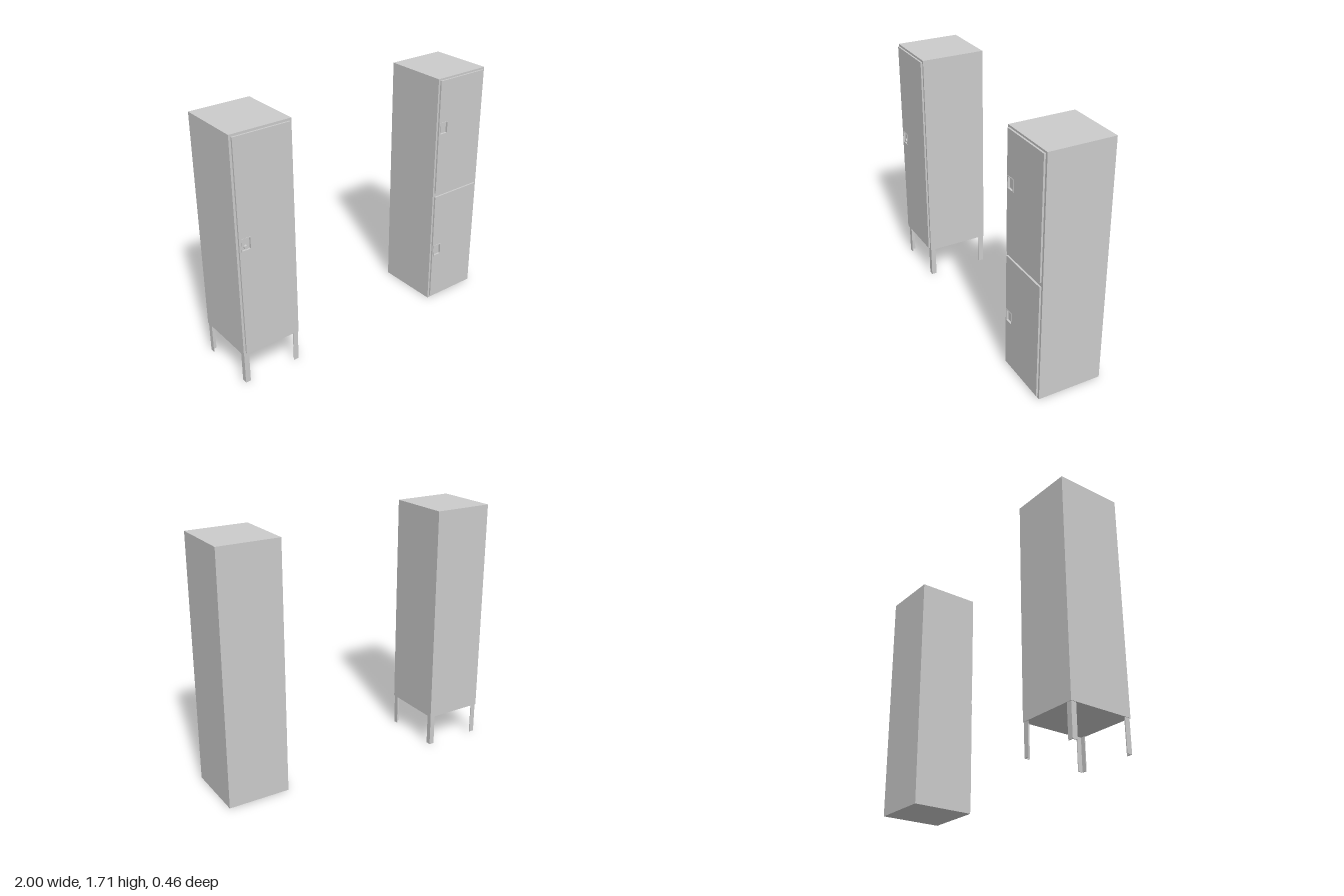
import * as THREE from 'three';

const steel = new THREE.MeshStandardMaterial({ color: 0xcccccc, flatShading: true });
const smooth = new THREE.MeshStandardMaterial({ color: 0xcccccc });

const BACK = -0.232, FRONT = 0.217, DOOR_FRONT = 0.229;

function add(parent, name, geometry, material = steel) {
  const mesh = new THREE.Mesh(geometry, material);
  mesh.name = name;
  parent.add(mesh);
  return mesh;
}

// Box given by its limits on each axis
function box(parent, name, x0, x1, y0, y1, z0, z1) {
  const mesh = add(parent, name, new THREE.BoxGeometry(x1 - x0, y1 - y0, z1 - z0));
  mesh.position.set((x0 + x1) / 2, (y0 + y1) / 2, (z0 + z1) / 2);
  return mesh;
}

function rect(path, x0, x1, y0, y1) {
  path.moveTo(x0, y0);
  path.lineTo(x1, y0);
  path.lineTo(x1, y1);
  path.lineTo(x0, y1);
  path.closePath();
  return path;
}

// Flat plate with a rectangular opening
function plate(parent, name, outer, hole, z0, z1) {
  const shape = rect(new THREE.Shape(), ...outer);
  shape.holes.push(rect(new THREE.Path(), ...hole));
  const geometry = new THREE.ExtrudeGeometry(shape, { depth: z1 - z0, bevelEnabled: false });
  add(parent, name, geometry).position.z = z0;
}

// Door with a framed, recessed finger pull, and a lock if wanted
function door(parent, name, x0, x1, y0, y1, pullX, pullY, lock) {
  const group = new THREE.Group();
  group.name = name;
  const w = 0.034, h = 0.043, rim = 0.005;
  const outer = [pullX - w, pullX + w, pullY - h, pullY + h];
  const inner = [pullX - w + rim, pullX + w - rim, pullY - h + rim, pullY + h - rim];
  plate(group, 'doorPanel', [x0, x1, y0, y1], inner, FRONT, DOOR_FRONT);
  plate(group, 'pullFrame', outer, inner, DOOR_FRONT, DOOR_FRONT + 0.003);
  box(group, 'pullRecess', ...inner, FRONT, FRONT + 0.001);
  if (lock) {
    const knob = add(group, 'lockCylinder', new THREE.CylinderGeometry(0.012, 0.013, 0.015, 24), smooth);
    knob.rotation.x = Math.PI / 2;
    knob.position.set(pullX, pullY - 0.02, FRONT + 0.0075);
    box(group, 'lockSlot', pullX - 0.002, pullX + 0.002, pullY - 0.027, pullY - 0.013, FRONT + 0.014, FRONT + 0.016);
  }
  parent.add(group);
}

// Angle-section leg with its outer corner at the origin, arms towards (dx, dz)
function leg(parent, name, x, z, dx, dz, height) {
  const a = 0.036, t = 0.005;
  const points = [[0, 0], [a, 0], [a, t], [t, t], [t, a], [0, a]];
  // Shape y becomes -z once the extrusion is stood upright
  const shape = new THREE.Shape(points.map(([u, v]) => new THREE.Vector2(u * dx, -v * dz)));
  const geometry = new THREE.ExtrudeGeometry(shape, { depth: height, bevelEnabled: false });
  geometry.rotateX(-Math.PI / 2);
  add(parent, name, geometry).position.set(x, 0, z);
}

export function createModel() {
  const model = new THREE.Group();
  model.name = 'lockers';

  // Tall single-door locker on legs
  const single = new THREE.Group();
  single.name = 'singleLocker';
  box(single, 'cabinet', -1, -0.582, 0.218, 1.71, BACK, FRONT);
  door(single, 'tallDoor', -0.985, -0.597, 0.233, 1.695, -0.938, 1.008, true);
  for (const [side, x, dx] of [['Right', -0.996, 1], ['Left', -0.586, -1]]) {
    leg(single, 'front' + side + 'Leg', x, FRONT - 0.004, dx, -1, 0.218);
    leg(single, 'back' + side + 'Leg', x, BACK + 0.004, dx, 1, 0.218);
  }
  model.add(single);

  // Two-door locker standing on the floor
  const double = new THREE.Group();
  double.name = 'doubleLocker';
  box(double, 'cabinet', 0.58, 1, 0, 1.693, BACK, FRONT);
  door(double, 'lowerDoor', 0.594, 0.984, 0.017, 0.833, 0.637, 0.398, false);
  door(double, 'upperDoor', 0.594, 0.984, 0.863, 1.68, 0.637, 1.343, false);
  model.add(double);

  return model;
}
